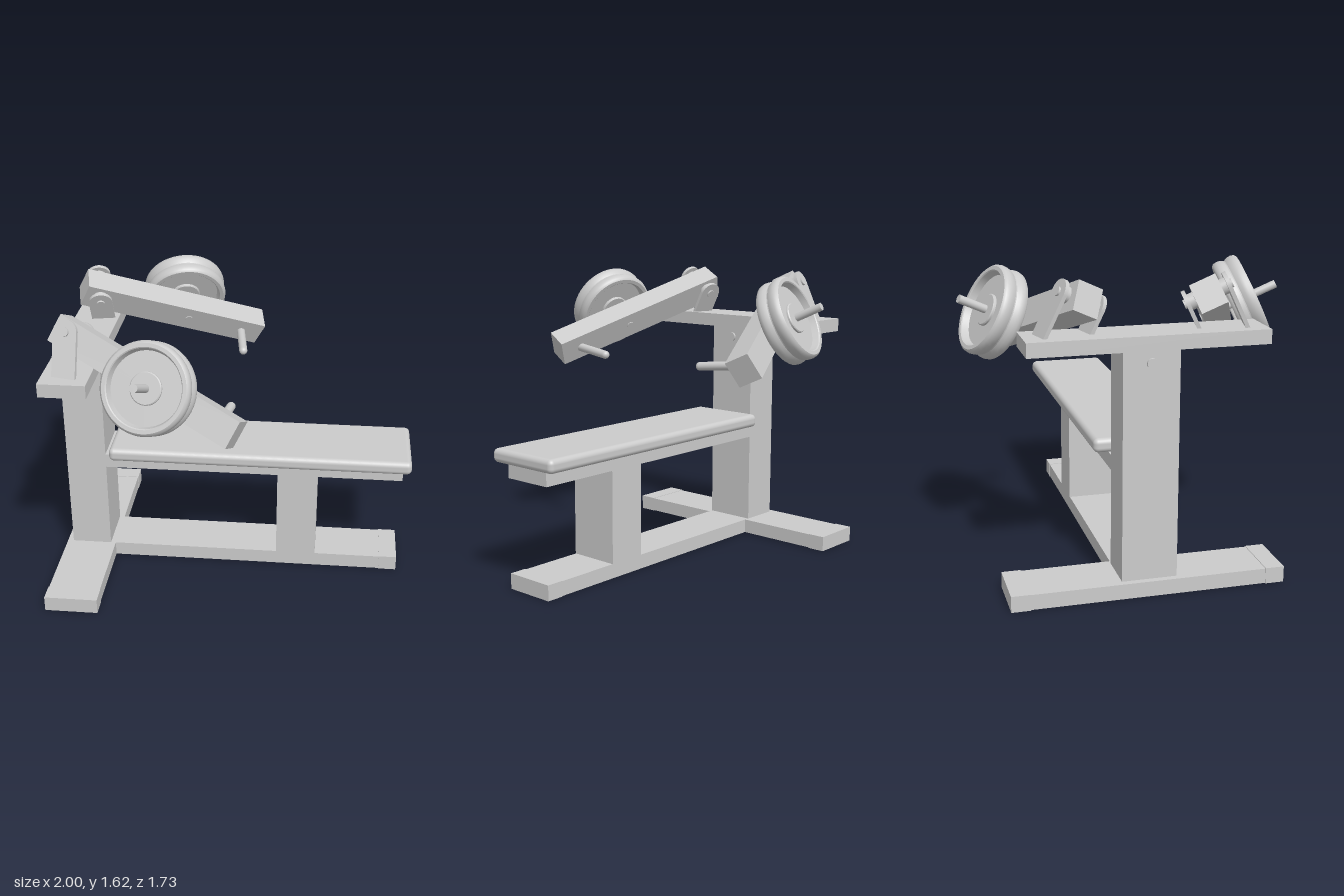
import * as THREE from 'three';
import { RoundedBoxGeometry } from 'three/addons/geometries/RoundedBoxGeometry.js';

const grey = new THREE.MeshStandardMaterial({ color: 0xcccccc });

function add(parent, name, geometry, x = 0, y = 0, z = 0) {
  const mesh = new THREE.Mesh(geometry, grey);
  mesh.name = name;
  mesh.position.set(x, y, z);
  parent.add(mesh);
  return mesh;
}

// Box given by its limits on each axis
function block(parent, name, x0, x1, y0, y1, z0, z1) {
  return add(parent, name, new THREE.BoxGeometry(x1 - x0, y1 - y0, z1 - z0),
    (x0 + x1) / 2, (y0 + y1) / 2, (z0 + z1) / 2);
}

// Cylinder running along local z from z0 to z1
function pin(parent, name, r, x, y, z0, z1) {
  const g = new THREE.CylinderGeometry(r, r, z1 - z0, 32).rotateX(Math.PI / 2);
  return add(parent, name, g, x, y, (z0 + z1) / 2);
}

// Upright plate with a rounded top, centred on its pin
function plateGeometry(r, drop, thickness) {
  const s = new THREE.Shape();
  s.moveTo(-r, -drop);
  s.lineTo(r, -drop);
  s.lineTo(r, 0);
  s.absarc(0, 0, r, 0, Math.PI, false);
  s.lineTo(-r, -drop);
  return new THREE.ExtrudeGeometry(s, { depth: thickness, bevelEnabled: false, curveSegments: 20 })
    .translate(0, 0, -thickness / 2);
}

// Weight plate: dished faces, raised hub, shallow groove round the rim
function weightGeometry() {
  const half = [[0.0, 0.045], [0.08, 0.045], [0.085, 0.04], [0.085, 0.03], [0.19, 0.03],
    [0.2, 0.065], [0.205, 0.07], [0.225, 0.07], [0.236, 0.06], [0.24, 0.042], [0.238, 0.022], [0.229, 0.003]];
  const profile = [...half.map(([r, h]) => [r, -h]), ...half.slice().reverse()];
  // Doubled points keep the corners of the dish crisp
  const pts = [];
  profile.forEach(([r, h]) => {
    pts.push(new THREE.Vector2(r, h));
    if (r > 0 && r < 0.23) pts.push(new THREE.Vector2(r + 1e-5, h));
  });
  return new THREE.LatheGeometry(pts, 56).rotateX(Math.PI / 2);
}

// One press arm with its hinge, weight and handle (the +z side)
function makePress() {
  const press = new THREE.Group();
  press.name = 'pressArm';

  // Arm frame: x along the arm, z outward along the hinge pin
  const along = new THREE.Vector3(0.87, -0.335, 0.361).normalize();
  const out = new THREE.Vector3(-0.203, 0.425, 0.882);
  out.addScaledVector(along, -out.dot(along)).normalize();
  const up = new THREE.Vector3().crossVectors(out, along);
  const arm = new THREE.Group();
  arm.name = 'armAssembly';
  arm.position.set(-0.416, 1.343, 0.502);
  arm.quaternion.setFromRotationMatrix(new THREE.Matrix4().makeBasis(along, up, out));
  press.add(arm);

  add(arm, 'armBeam', new THREE.BoxGeometry(1.115, 0.155, 0.14));
  pin(arm, 'weightPeg', 0.022, 0.087, 0, -0.075, 0.365);
  add(arm, 'weightPlate', weightGeometry(), 0.087, 0, 0.163);
  const hx = -0.47, hy = 0.015;
  pin(arm, 'hingeCollar', 0.042, hx, hy, -0.1, 0.1);
  pin(arm, 'hingePin', 0.024, hx, hy, -0.13, 0.13);

  // Hinge plates stand upright on the top beam, square to the pin
  const plateUp = new THREE.Vector3(0, out.z, -out.y).normalize();
  const plateX = new THREE.Vector3().crossVectors(plateUp, out);
  const basis = new THREE.Matrix4().makeBasis(plateX, plateUp, out);
  arm.updateMatrix();
  [['outerHingePlate', 0.11, 0.25], ['innerHingePlate', -0.11, 0.145]].forEach(([name, z, drop]) => {
    const plate = add(press, name, plateGeometry(0.066, drop, 0.02));
    plate.position.set(hx, hy, z).applyMatrix4(arm.matrix);
    plate.quaternion.setFromRotationMatrix(basis);
  });

  // Handle pointing inward from the free end
  const a = new THREE.Vector3(-0.032, 1.167, 0.63), b = new THREE.Vector3(0.008, 1.142, 0.362);
  const dir = b.clone().sub(a);
  const handle = add(press, 'handle', new THREE.CapsuleGeometry(0.024, dir.length(), 8, 24));
  handle.position.copy(a).add(b).multiplyScalar(0.5);
  handle.quaternion.setFromUnitVectors(new THREE.Vector3(0, 1, 0), dir.normalize());
  return press;
}

export function createModel() {
  const model = new THREE.Group();
  model.name = 'benchPressMachine';
  const w = 0.145;

  // Floor frame with end caps
  block(model, 'baseCrossbar', -0.997, -0.708, 0.002, 0.083, -0.7, 0.7);
  block(model, 'baseRunner', -0.71, 0.94, 0.002, 0.083, -w + 0.002, w - 0.002);
  block(model, 'runnerCap', 0.855, 0.955, 0, 0.086, -w, w);
  for (const s of [-1, 1]) {
    const cap = block(model, 'crossbarCap', -1, -0.705, 0, 0.086, 0.62, 0.72);
    cap.position.z *= s;
  }

  // Column, top beam and bolt
  block(model, 'column', -0.963, -0.737, 0.083, 1.276, -w, w);
  block(model, 'topBeam', -0.963, -0.71, 1.275, 1.35, -0.615, 0.615);
  add(model, 'columnBolt', new THREE.CylinderGeometry(0.026, 0.026, 0.25, 32).rotateZ(Math.PI / 2),
    -0.85, 1.215, 0);

  // Bench
  block(model, 'benchRail', -0.738, 0.955, 0.605, 0.686, -w, w);
  block(model, 'benchPost', 0.25, 0.478, 0.082, 0.606, -w, w);
  add(model, 'benchPad', new RoundedBoxGeometry(1.7, 0.076, 0.45, 6, 0.028), 0.147, 0.723, 0);

  // Press arms, mirrored across z
  const right = makePress(), left = makePress();
  left.scale.z = -1;
  model.add(right, left);
  return model;
}
